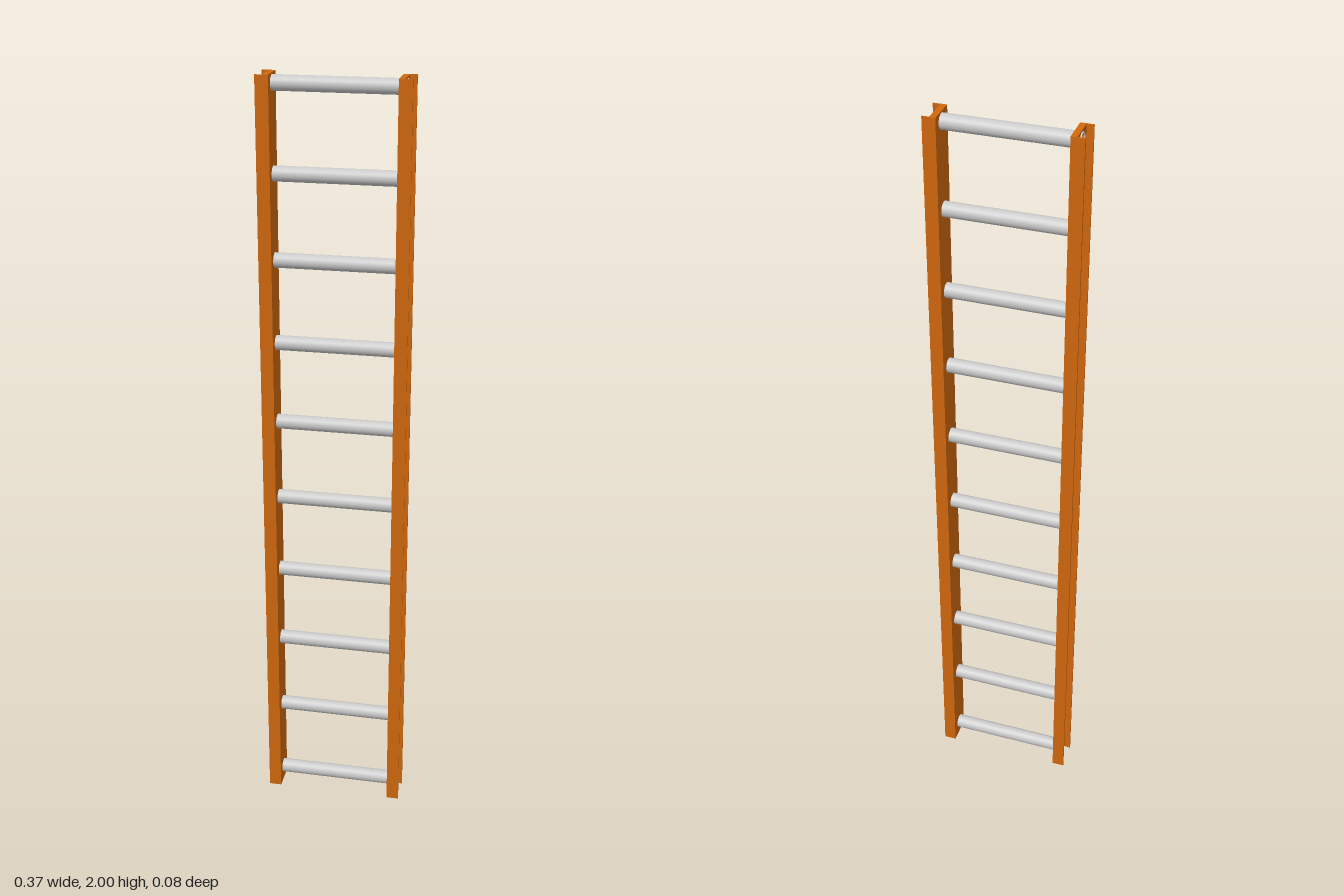
import * as THREE from 'three';

const HEIGHT = 2, RUNGS = 10, FIRST = 0.043, LAST = 1.977, RADIUS = 0.019;
const WEB_IN = 0.154, WEB_OUT = 0.169, TIP = 0.187, HALF_DEPTH = 0.038;

// Box given by its minimum and maximum corners
function slab(name, min, max, material) {
  const size = max.map((v, i) => v - min[i]);
  const mesh = new THREE.Mesh(new THREE.BoxGeometry(...size), material);
  mesh.position.set(...max.map((v, i) => (v + min[i]) / 2));
  mesh.name = name;
  return mesh;
}

// Outward-opening channel: thick web, thin flanges and small lips at the tips
function createRail(side, material) {
  const rail = new THREE.Group();
  rail.name = side > 0 ? 'leftRail' : 'rightRail';
  const box = (name, x0, x1, z0, z1) => rail.add(slab(name,
    [Math.min(side * x0, side * x1), 0, Math.min(z0, z1)],
    [Math.max(side * x0, side * x1), HEIGHT, Math.max(z0, z1)], material));

  // Web with a through hole for the open top rung
  const inner = HALF_DEPTH - 0.002;
  const outline = new THREE.Shape();
  outline.moveTo(-inner, 0).lineTo(inner, 0).lineTo(inner, HEIGHT).lineTo(-inner, HEIGHT).closePath();
  const hole = new THREE.Path();
  hole.absarc(0, LAST, RADIUS - 0.0015, 0, Math.PI * 2, true);
  outline.holes.push(hole);
  const geometry = new THREE.ExtrudeGeometry(outline, {
    depth: WEB_OUT - WEB_IN, bevelEnabled: false, curveSegments: 16,
  });
  geometry.rotateY(Math.PI / 2);
  const web = new THREE.Mesh(geometry, material);
  web.position.x = side > 0 ? WEB_IN : -WEB_OUT;
  web.name = 'web';
  rail.add(web);

  for (const z of [-1, 1]) {
    box('flange', WEB_IN, TIP, z * inner, z * HALF_DEPTH);
    box('lip', TIP - 0.003, TIP, z * (inner - 0.002), z * inner);
  }
  return rail;
}

// Thin hollow tube lying along x
function createRung(y, material) {
  const half = 0.172, bore = RADIUS - 0.0015;
  const profile = [[bore, -half], [RADIUS, -half], [RADIUS, half], [bore, half], [bore, -half]];
  // Separate strips keep the tube's end edges sharp
  const rung = new THREE.Group();
  rung.name = 'rung';
  for (let i = 0; i < 4; i++) {
    const points = [profile[i], profile[i + 1]].map(p => new THREE.Vector2(...p));
    const mesh = new THREE.Mesh(new THREE.LatheGeometry(points, 32), material);
    mesh.name = ['rightEnd', 'outerWall', 'leftEnd', 'bore'][i];
    rung.add(mesh);
  }
  rung.rotation.z = -Math.PI / 2;
  rung.position.y = y;
  return rung;
}

export function createModel() {
  const model = new THREE.Group();
  model.name = 'ladder';
  const orange = new THREE.MeshStandardMaterial({ color: 0xd2690f });
  const grey = new THREE.MeshStandardMaterial({ color: 0xcccccc, side: THREE.DoubleSide });

  for (const side of [-1, 1]) model.add(createRail(side, orange));
  for (let i = 0; i < RUNGS; i++) {
    model.add(createRung(THREE.MathUtils.lerp(FIRST, LAST, i / (RUNGS - 1)), grey));
  }
  return model;
}
